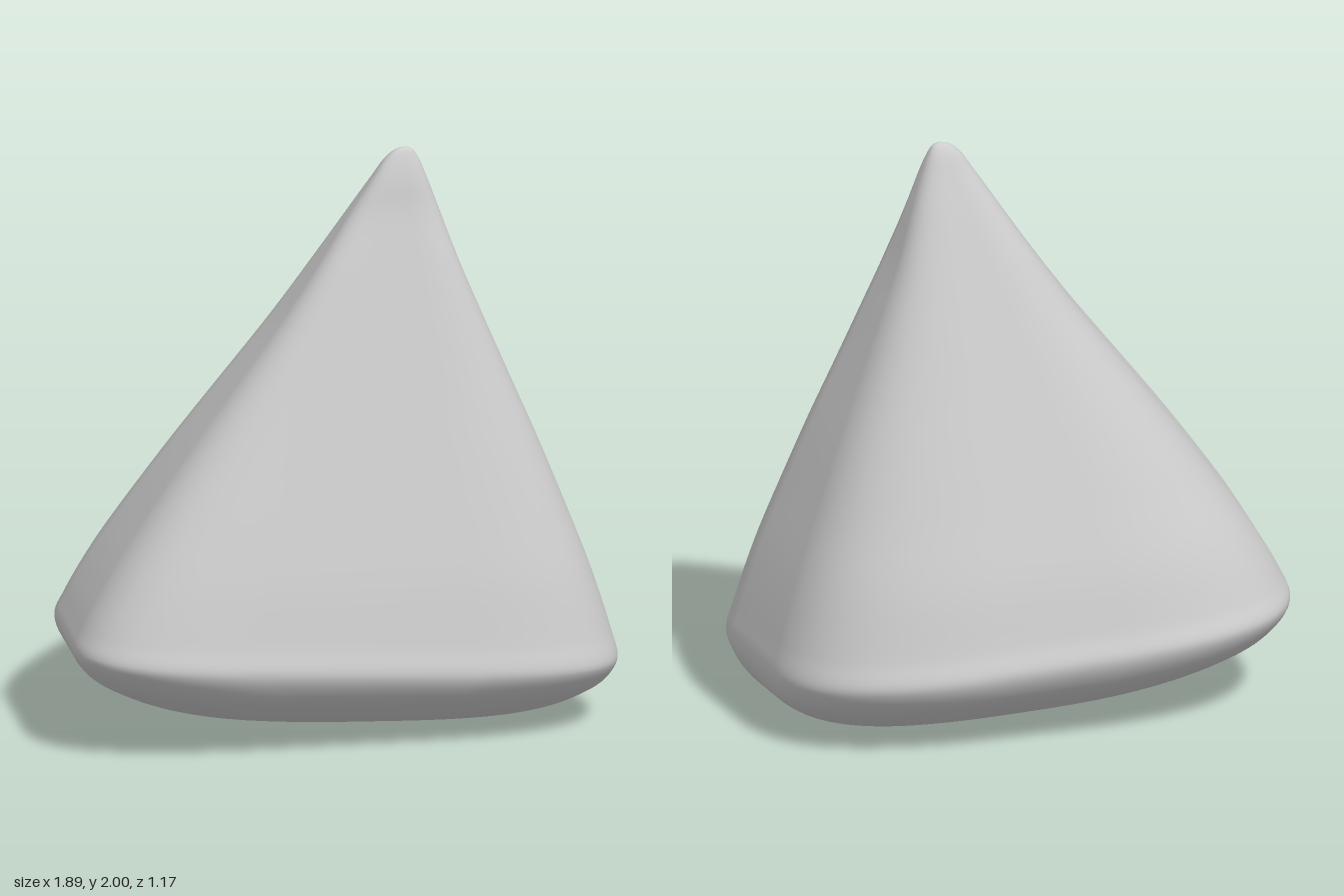
import * as THREE from 'three';

// Cross-sections from underside to tip: [leftX, leftY, rightX, rightY, frontZ, backZ]
const SECTIONS = [
  [0.1, 0.025, 0.1, 0.025, 0, 0],
  [-0.38, 0.05, 0.57, 0.0, 0.2, -0.2],
  [-0.6, 0.1, 0.77, 0.035, 0.34, -0.34],
  [-0.78, 0.18, 0.88, 0.1, 0.465, -0.465],
  [-0.89, 0.26, 0.925, 0.16, 0.545, -0.545],
  [-0.94, 0.35, 0.94, 0.23, 0.583, -0.583],
  [-0.91, 0.43, 0.917, 0.33, 0.56, -0.555],
  [-0.81, 0.6, 0.85, 0.55, 0.512, -0.5],
  [-0.67, 0.8, 0.765, 0.78, 0.447, -0.42],
  [-0.52, 1.0, 0.68, 1.0, 0.381, -0.342],
  [-0.362, 1.2, 0.597, 1.2, 0.318, -0.267],
  [-0.205, 1.4, 0.515, 1.4, 0.256, -0.193],
  [-0.06, 1.6, 0.435, 1.6, 0.193, -0.118],
  [0.07, 1.79, 0.37, 1.79, 0.134, -0.045],
  [0.145, 1.9, 0.33, 1.9, 0.11, 0.0],
  [0.188, 1.96, 0.305, 1.96, 0.09, 0.025],
  [0.225, 1.99, 0.285, 1.99, 0.075, 0.045],
  [0.26, 2.0, 0.26, 2.0, 0.06, 0.06],
];
const WIDEST = 5;
const ROWS = 102;
const CORNER = 16;

function bodyGeometry() {
  const lerp = THREE.MathUtils.lerp;
  const left = new THREE.CatmullRomCurve3(SECTIONS.map((s) => new THREE.Vector3(s[0], s[1], s[4])));
  const right = new THREE.CatmullRomCurve3(SECTIONS.map((s) => new THREE.Vector3(s[2], s[3], s[5])));
  const around = (CORNER + 1) * 4;
  const positions = [0.1, 0.025, 0]; // pole under the body
  const indices = [];

  for (let i = 1; i < ROWS; i++) {
    const t = i / ROWS;
    const l = left.getPoint(t);
    const r = right.getPoint(t);
    const k = (r.x - l.x) / 1.88;
    // Four-sided loop, narrower at the back, with rounded corners
    const corners = [
      new THREE.Vector2(r.x + 0.03 * k, l.z),
      new THREE.Vector2(l.x - 0.035 * k, l.z),
      new THREE.Vector2(l.x + 0.07 * k, r.z),
      new THREE.Vector2(r.x - 0.05 * k, r.z),
    ];
    // Corners are rounder on the underside and at the tip
    const below = Math.max(0, 1 - (t * (SECTIONS.length - 1)) / WIDEST);
    const soft = Math.max(below, 1 - Math.min(1, k * 4));
    corners.forEach((p, c) => {
      const f = lerp(c < 2 ? 0.31 : 0.38, 0.5, soft);
      const start = p.clone().lerp(corners[(c + 3) % 4], f);
      const end = p.clone().lerp(corners[(c + 1) % 4], f);
      const arc = new THREE.QuadraticBezierCurve(start, p, end);
      for (let j = 0; j <= CORNER; j++) {
        // The small inset keeps neighbouring arcs apart where they meet
        const q = arc.getPoint(lerp(0.02, 0.98, j / CORNER));
        // Loops are tilted from the higher left to the lower right
        const y = lerp(l.y, r.y, (q.x - l.x) / (r.x - l.x));
        positions.push(q.x, Math.max(0, y), q.y);
      }
    });
  }

  const tip = positions.length / 3;
  positions.push(0.26, 2, 0.06);

  const at = (row, j) => 1 + (row - 1) * around + (j % around);
  for (let j = 0; j < around; j++) {
    indices.push(0, at(1, j), at(1, j + 1));
    for (let row = 1; row < ROWS - 1; row++) {
      const a = at(row, j), b = at(row, j + 1);
      const c = at(row + 1, j + 1), d = at(row + 1, j);
      indices.push(a, d, c, a, c, b);
    }
    indices.push(at(ROWS - 1, j), tip, at(ROWS - 1, j + 1));
  }

  const geometry = new THREE.BufferGeometry();
  geometry.setAttribute('position', new THREE.Float32BufferAttribute(positions, 3));
  geometry.setIndex(indices);
  geometry.computeVertexNormals();
  return geometry;
}

export function createModel() {
  const group = new THREE.Group();
  group.name = 'roundedPyramid';
  const body = new THREE.Mesh(bodyGeometry(), new THREE.MeshStandardMaterial({ color: 0xcccccc }));
  body.name = 'body';
  group.add(body);
  return group;
}
